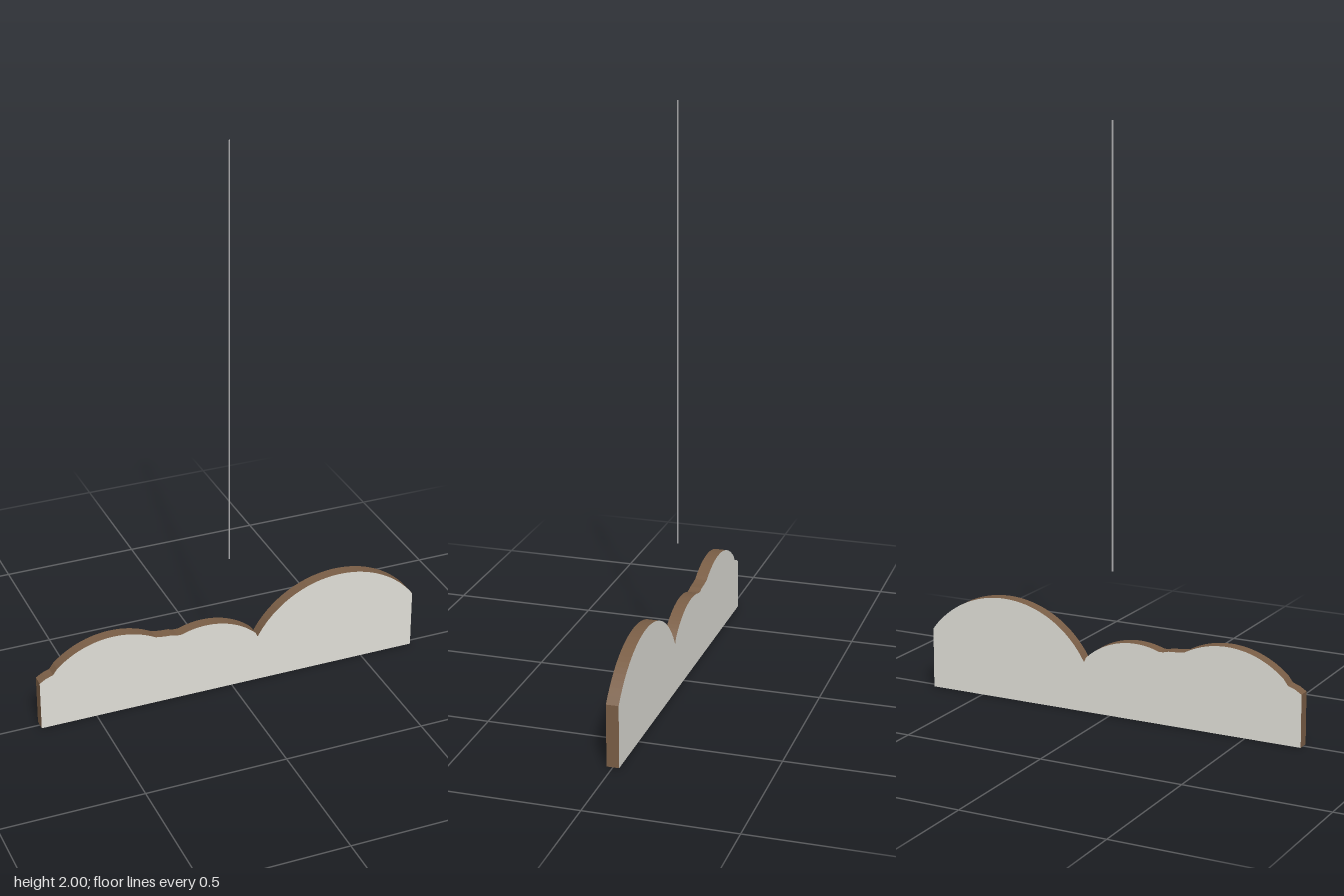
import * as THREE from 'three';

export function createModel() {
  const group = new THREE.Group();
  const paint = new THREE.MeshStandardMaterial({ color: 0xe0dfd8 });
  paint.name = 'off-white face';
  const wood = new THREE.MeshStandardMaterial({ color: 0x7a5e46 });
  wood.name = 'brown wood edge';
  const steel = new THREE.MeshStandardMaterial({ color: 0xaaaaac });
  steel.name = 'grey wire';

  // Cloud outline: flat base, scalloped top made of circles centred on the base line
  const half = 0.698;
  const outline = [[half, 0]];
  const arc = (cx, r, from, to, steps) => {
    for (let i = 0; i <= steps; i++) {
      const x = from + (to - from) * i / steps;
      outline.push([x, Math.sqrt(r * r - (x - cx) ** 2)]);
    }
  };
  arc(0.41, 0.358, half, 0.098, 32);
  arc(-0.095, 0.267, 0.09, -0.185, 20);
  outline.push([-0.2, 0.252], [-0.22, 0.257], [-0.25, 0.259], [-0.265, 0.261]);
  arc(-0.43, 0.303, -0.28, -0.635, 24);
  outline.push([-0.65, 0.203], [-0.675, 0.194], [-half, 0.18], [-half, 0]);

  // Thin board: off-white front and back, brown rim
  const shape = new THREE.Shape(outline.map(([x, y]) => new THREE.Vector2(x, y)));
  const boardGeometry = new THREE.ExtrudeGeometry(shape, { depth: 0.042, bevelEnabled: false });
  boardGeometry.translate(0, 0, -0.021);
  const board = new THREE.Mesh(boardGeometry, [paint, wood]);
  board.name = 'cloudBoard';
  group.add(board);

  // Hanging wire above the board
  const wire = new THREE.Mesh(new THREE.CylinderGeometry(0.003, 0.003, 1.5, 8), steel);
  wire.position.y = 1.25;
  wire.name = 'hangingWire';
  group.add(wire);

  return group;
}
